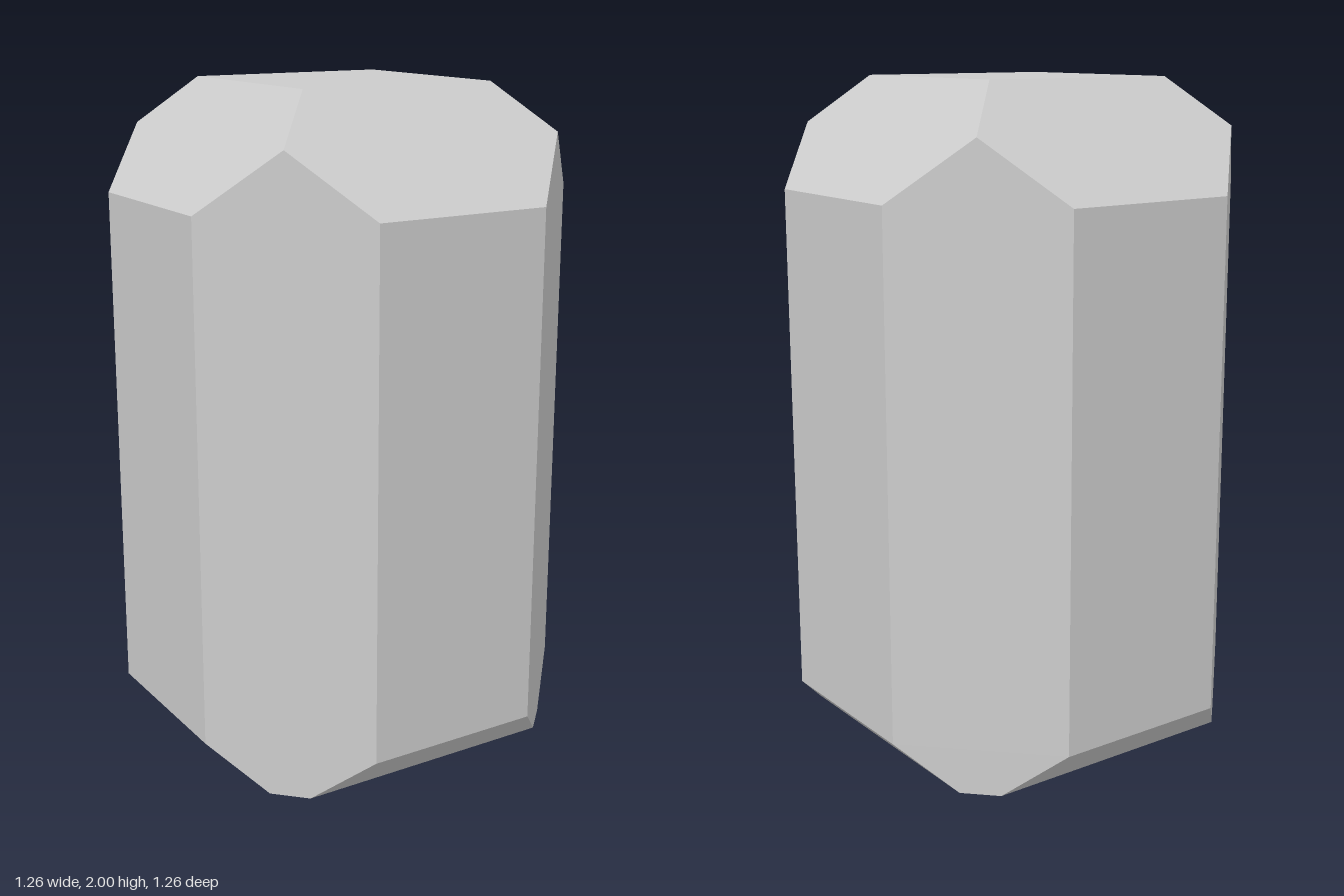
import * as THREE from 'three';

// Key measures of the cut: side half width, octagon corner, table and base half widths
const W = 0.632, C = 0.272, T = 0.312, B = 0.495, H = 2;
const D = (W + C) / 2;              // ridge point on the diagonal
const E = W + C - B;                // corner of the base octagon
const Y_LOW = W - B, Y_HIGH = H - (W - T), Y_RIDGE = H - (D - T);

const material = new THREE.MeshStandardMaterial({ color: 0xcccccc, flatShading: true });

// Flat convex facet from its corners, counter-clockwise seen from outside
function facet(name, corners) {
  const points = [];
  for (let i = 1; i < corners.length - 1; i++) points.push(...corners[0], ...corners[i], ...corners[i + 1]);
  const geometry = new THREE.BufferGeometry();
  geometry.setAttribute('position', new THREE.Float32BufferAttribute(points, 3));
  geometry.computeVertexNormals();
  const mesh = new THREE.Mesh(geometry, material);
  mesh.name = name;
  return mesh;
}

export function createModel() {
  const gem = new THREE.Group();
  gem.name = 'cutGem';

  // Four identical quarters around the upright axis
  for (let i = 0; i < 4; i++) {
    const quarter = new THREE.Group();
    quarter.name = `quarter${i + 1}`;
    quarter.rotation.y = i * Math.PI / 2;
    quarter.add(
      facet('sideFacet', [[-C, Y_LOW, W], [C, Y_LOW, W], [C, Y_HIGH, W], [-C, Y_HIGH, W]]),
      facet('crownFacet', [[-C, Y_HIGH, W], [C, Y_HIGH, W], [D, Y_RIDGE, D],
        [T, H, T], [-T, H, T], [-D, Y_RIDGE, D]]),
      facet('cornerFacet', [[C, Y_LOW, W], [E, 0, B], [B, 0, E], [W, Y_LOW, C],
        [W, Y_HIGH, C], [D, Y_RIDGE, D], [C, Y_HIGH, W]]),
      facet('lowerBevel', [[-E, 0, B], [E, 0, B], [C, Y_LOW, W], [-C, Y_LOW, W]]),
    );
    gem.add(quarter);
  }

  // Square table on top and octagonal base underneath
  gem.add(facet('topTable', [[-T, H, T], [T, H, T], [T, H, -T], [-T, H, -T]]));
  gem.add(facet('base', [[-E, 0, B], [-B, 0, E], [-B, 0, -E], [-E, 0, -B],
    [E, 0, -B], [B, 0, -E], [B, 0, E], [E, 0, B]]));
  return gem;
}
